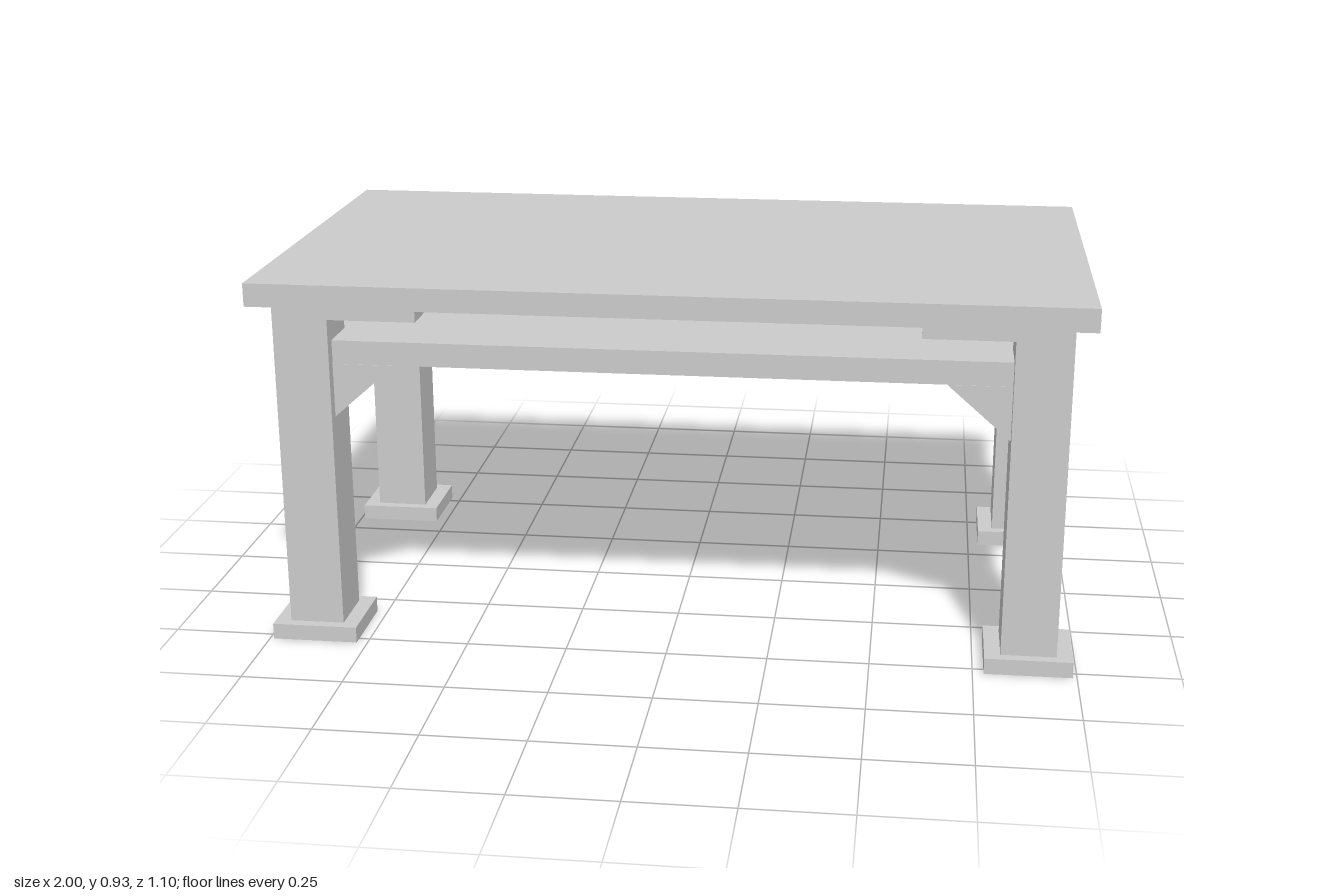
import * as THREE from 'three';

const material = new THREE.MeshStandardMaterial({ color: 0xcccccc, flatShading: true });

// Box given by its [min, max] range on each axis
function box(name, [x0, x1], [y0, y1], [z0, z1]) {
  const mesh = new THREE.Mesh(new THREE.BoxGeometry(x1 - x0, y1 - y0, z1 - z0), material);
  mesh.name = name;
  mesh.position.set((x0 + x1) / 2, (y0 + y1) / 2, (z0 + z1) / 2);
  return mesh;
}

// Triangular brace: hangs below the shelf, running from the origin along +x
function brace(name, run, drop, width) {
  const shape = new THREE.Shape();
  shape.moveTo(0, 0);
  shape.lineTo(0, -drop);
  shape.lineTo(run, 0);
  shape.closePath();
  const geometry = new THREE.ExtrudeGeometry(shape, { depth: width, bevelEnabled: false });
  geometry.translate(0, 0, -width / 2);
  const mesh = new THREE.Mesh(geometry, material);
  mesh.name = name;
  return mesh;
}

export function createModel() {
  const model = new THREE.Group();
  model.name = 'table';

  // Measurements of the leg in the +x +z corner
  const legX = [0.816, 0.951], legZ = [0.354, 0.498];
  const midX = (legX[0] + legX[1]) / 2, midZ = (legZ[0] + legZ[1]) / 2;
  const under = 0.868, shelfY = [0.709, 0.768];

  model.add(box('tableTop', [-1, 1], [under, 0.925], [-0.55, 0.55]));
  model.add(box('lowerShelf', [-0.926, 0.926], shelfY, [-0.467, 0.467]));

  const span = (s, [a, b]) => (s > 0 ? [a, b] : [-b, -a]);

  for (const sx of [-1, 1]) {
    for (const sz of [-1, 1]) {
      const corner = new THREE.Group();
      corner.name = (sz > 0 ? 'front' : 'back') + (sx > 0 ? 'Left' : 'Right') + 'Corner';
      const add = (name, x, y, z) => corner.add(box(name, span(sx, x), y, span(sz, z)));

      add('leg', legX, [0.04, under], legZ);
      add('foot', [0.777, 0.99], [0, 0.04], [0.327, 0.525]);

      // Flat support blocks under the top, along each side
      add('longSupport', [0.6, legX[0]], [0.827, under], legZ);
      add('shortSupport', legX, [0.827, under], [0.168, legZ[0]]);

      // Sloped braces under the shelf, pointing inwards from the leg
      const longBrace = brace('longBrace', 0.153, 0.134, 0.085);
      longBrace.position.set(sx * legX[0], shelfY[0], sz * midZ);
      longBrace.rotation.y = sx > 0 ? Math.PI : 0;
      const shortBrace = brace('shortBrace', 0.174, 0.134, 0.085);
      shortBrace.position.set(sx * midX, shelfY[0], sz * legZ[0]);
      shortBrace.rotation.y = sz * Math.PI / 2;
      corner.add(longBrace, shortBrace);

      model.add(corner);
    }
  }
  return model;
}
